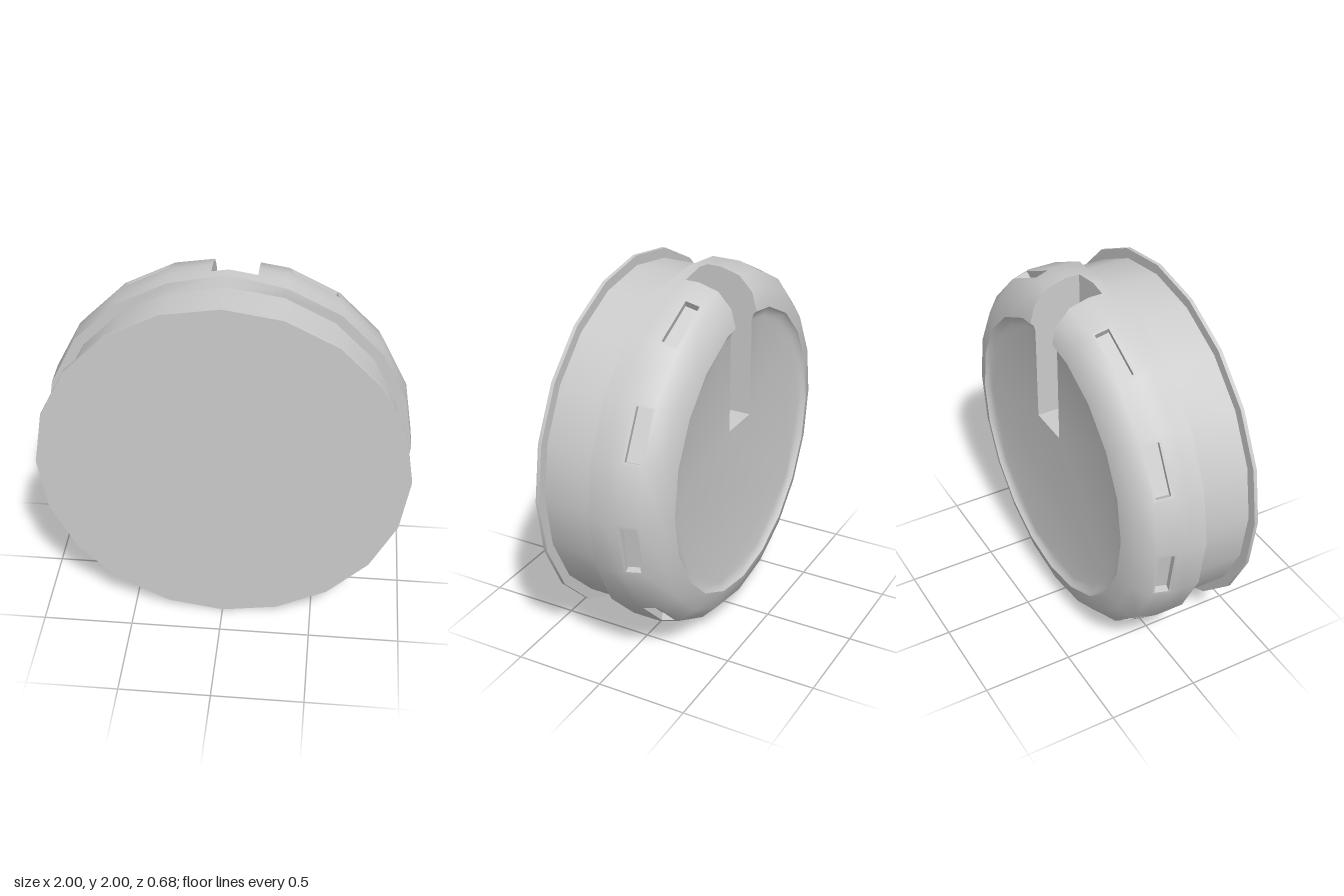
import * as THREE from 'three';
import { toCreasedNormals } from 'three/addons/utils/BufferGeometryUtils.js';

const SIDES = 20, STEP = (Math.PI * 2) / SIDES;
const SLOT = { left: 0.15, right: -0.09, bottom: 1.18, floor: -0.055 };
const VENT_FACETS = [1, 3, 5, 7, 12, 14, 16, 18];
const V = (x, y, z) => new THREE.Vector3(x, y, z);

// Collects faces and turns them into a mesh with smooth, creased normals
class Surface {
  constructor() { this.points = []; }
  quad(a, b, c, d) { this.points.push(a, b, c, a, c, d); }
  // Flat polygon facing along the given axis direction
  flat(pts, normal) {
    const to2 = p => normal.x ? new THREE.Vector2(p.z, p.y) : new THREE.Vector2(p.x, normal.y ? p.z : p.y);
    for (const [i, j, k] of THREE.ShapeUtils.triangulateShape(pts.map(to2), [])) {
      const [a, b, c] = [pts[i], pts[j], pts[k]];
      const n = b.clone().sub(a).cross(c.clone().sub(a));
      if (n.dot(normal) > 0) this.points.push(a, b, c);
      else this.points.push(a, c, b);
    }
  }
  mesh(name, material) {
    const g = new THREE.BufferGeometry().setFromPoints(this.points);
    return named(toCreasedNormals(g, 0.62), name, material);
  }
}

function named(geometry, name, material) {
  const m = new THREE.Mesh(geometry, material);
  m.name = name;
  return m;
}

// Point k of a ring, counted clockwise from the top; notched rings stop at the slot
function ringPoint(k, r, z, notched) {
  if (notched && k % SIDES === 0) {
    const x = k === 0 ? SLOT.left : SLOT.right;
    return V(x, 1 + r - Math.abs(x) * Math.tan(STEP / 2), z);
  }
  return V(r * Math.sin(k * STEP), 1 + r * Math.cos(k * STEP), z);
}

function disc(r, front, back, name, material) {
  const g = new THREE.CylinderGeometry(r, r, front - back, SIDES).rotateX(Math.PI / 2);
  g.translate(0, 1, (front + back) / 2);
  return named(toCreasedNormals(g, 0.62), name, material);
}

export function createModel() {
  const group = new THREE.Group();
  const material = new THREE.MeshStandardMaterial({ color: 0xcccccc });

  // Front plate and neck
  group.add(disc(1, 0.34, 0.32, 'frontPlate', material));
  group.add(disc(0.945, 0.32, -0.02, 'neck', material));

  // Rear cap: [radius, z] rings from the shoulder to the dished back
  const body = new Surface(), vents = new Surface(), slot = new Surface();
  const shoulder = [[0.94, 0.03], [1, 0.03], [1, SLOT.floor]];
  const shell = [[1, SLOT.floor], [1, -0.13], [0.97, -0.24], [0.89, -0.315],
    [0.79, -0.342], [0.775, -0.325], [0.74, -0.315]];
  const VENT_BAND = 1;

  // Pocket sunk into one facet, with a frame around its opening
  function addVent(corners) {
    const [a, b, c, d] = corners;
    const at = (u, v) => a.clone().lerp(b, u).lerp(d.clone().lerp(c, u), v);
    const inward = b.clone().sub(a).cross(d.clone().sub(a)).normalize().multiplyScalar(-0.04);
    const rim = [at(0.06, 0.18), at(0.94, 0.18), at(0.94, 0.86), at(0.06, 0.86)];
    const floor = rim.map(p => p.clone().add(inward));
    for (let i = 0; i < 4; i++) {
      const j = (i + 1) % 4;
      body.quad(corners[i], corners[j], rim[j], rim[i]);
      vents.quad(rim[i], rim[j], floor[j], floor[i]);
    }
    vents.quad(...floor);
  }

  function addBands(rows, notched) {
    for (let i = 0; i < rows.length - 1; i++) {
      for (let k = 0; k < SIDES; k++) {
        const corners = [[k, i], [k + 1, i], [k + 1, i + 1], [k, i + 1]].map(([n, row]) => {
          const p = ringPoint(n, ...rows[row], notched);
          // Small dip in the shoulder edge at the very top
          if (!notched && row === 1 && n % SIDES === 0) p.z = 0;
          return p;
        });
        if (notched && i === VENT_BAND && VENT_FACETS.includes(k)) addVent(corners);
        else body.quad(...corners);
      }
    }
  }
  addBands(shoulder, false);
  addBands(shell, true);

  // Back face with the slot cut out
  const [faceR, faceZ] = shell[shell.length - 1];
  const face = [];
  for (let k = 0; k <= SIDES; k++) face.push(ringPoint(k, faceR, faceZ, true));
  face.push(V(SLOT.right, SLOT.bottom, faceZ), V(SLOT.left, SLOT.bottom, faceZ));
  body.flat(face, V(0, 0, -1));

  // Slot walls, end and floor
  for (const [k, x, dir] of [[0, SLOT.left, -1], [SIDES, SLOT.right, 1]]) {
    const wall = shell.map(([r, z]) => ringPoint(k, r, z, true));
    wall.push(V(x, SLOT.bottom, faceZ), V(x, SLOT.bottom, SLOT.floor));
    slot.flat(wall, V(dir, 0, 0));
  }
  const low = [V(SLOT.right, SLOT.bottom, SLOT.floor), V(SLOT.left, SLOT.bottom, SLOT.floor)];
  slot.flat([...low, V(SLOT.left, SLOT.bottom, faceZ), V(SLOT.right, SLOT.bottom, faceZ)], V(0, 1, 0));
  slot.flat([...low, ringPoint(0, 1, SLOT.floor, true), V(0, 2, SLOT.floor),
    ringPoint(SIDES, 1, SLOT.floor, true)], V(0, 0, -1));

  group.add(body.mesh('rearCap', material));
  group.add(vents.mesh('ventPockets', material));
  group.add(slot.mesh('backSlot', material));
  return group;
}
